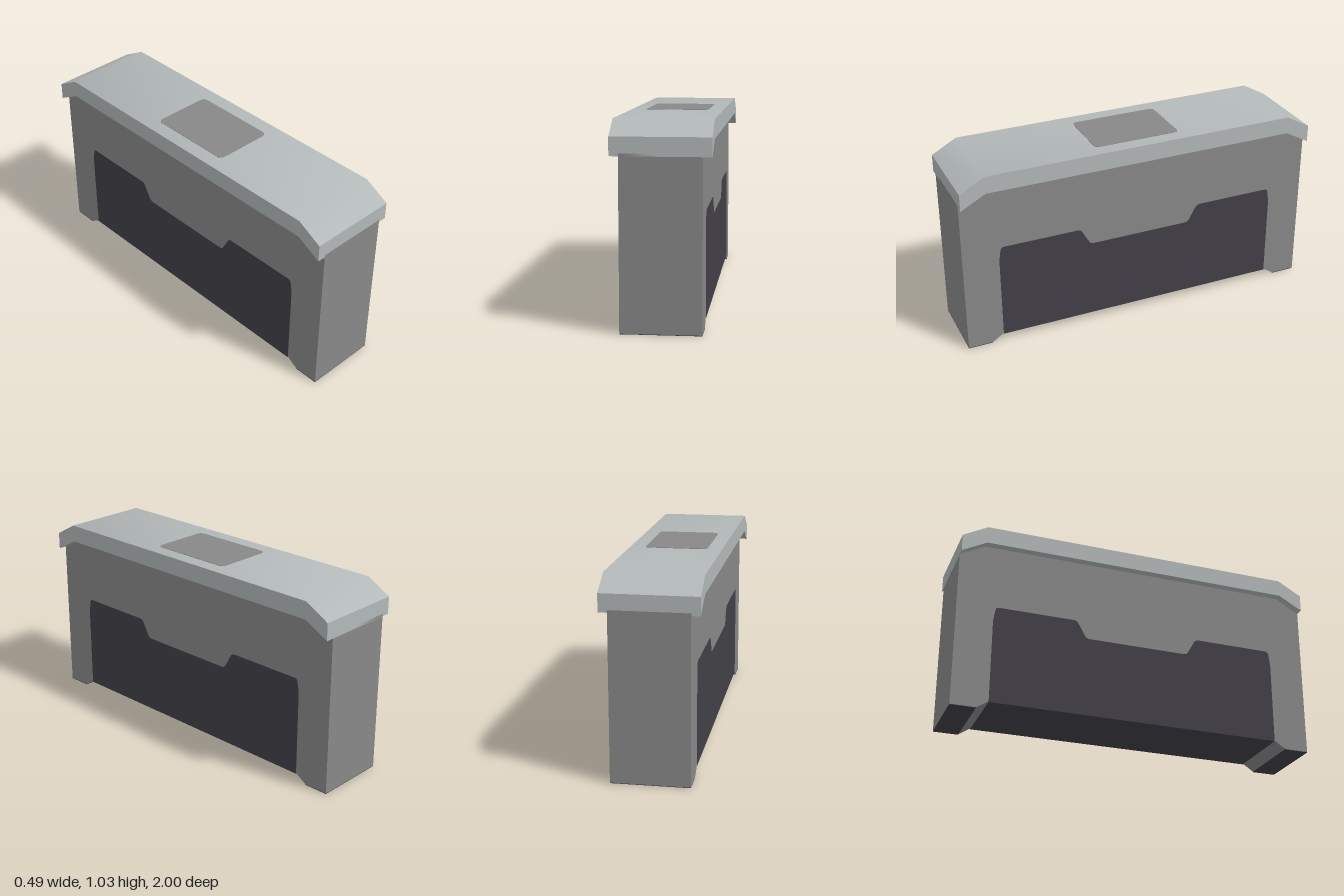
import * as THREE from 'three';
import { toCreasedNormals } from 'three/addons/utils/BufferGeometryUtils.js';

const mat = (name, color) => Object.assign(new THREE.MeshStandardMaterial({ color }), { name });

// Mirror half a profile of [z, y] points across z = 0 and close it
function symmetric(half) {
  return [...half, ...half.map(([z, y]) => [-z, y]).reverse()];
}

// Shape with each corner rounded by a quadratic curve of size r
function roundedShape(points, r) {
  const p = points.map(([a, b]) => new THREE.Vector2(a, b));
  const shape = new THREE.Shape();
  p.forEach((c, i) => {
    const prev = p[(i + p.length - 1) % p.length];
    const next = p[(i + 1) % p.length];
    const a = c.clone().add(prev.clone().sub(c).setLength(r));
    const b = c.clone().add(next.clone().sub(c).setLength(r));
    if (i === 0) shape.moveTo(a.x, a.y);
    else shape.lineTo(a.x, a.y);
    shape.quadraticCurveTo(c.x, c.y, b.x, b.y);
  });
  shape.closePath();
  return shape;
}

const sharpShape = (points) => new THREE.Shape(points.map(([a, b]) => new THREE.Vector2(a, b)));

// Extrude a side profile (z, y) across the full width in x
function acrossWidth(shape, width) {
  const g = new THREE.ExtrudeGeometry(shape, { depth: width, bevelEnabled: false, curveSegments: 5 });
  return g.translate(0, 0, -width / 2).rotateY(-Math.PI / 2);
}

export function createModel() {
  const model = new THREE.Group();
  model.name = 'block';
  const grey = mat('mid grey', 0x888888);
  const light = mat('light grey', 0xb3b8b8);
  const dark = mat('charcoal', 0x424047);

  const add = (name, geometry, material) => {
    const mesh = new THREE.Mesh(geometry, material);
    mesh.name = name;
    model.add(mesh);
    return mesh;
  };

  // Main body with two short chamfered feet
  const body = symmetric([[0.805, 0.042], [0.865, 0.003], [1, 0.003], [1, 0.87], [0.865, 0.94]]);
  add('body', acrossWidth(sharpShape(body), 0.4), grey);

  // Overhanging cap with sloped ends, softly shaded along its top
  const cap = symmetric([[0.865, 0.93], [1, 0.857], [1, 0.95], [0.865, 1.025]]);
  add('cap', toCreasedNormals(acrossWidth(sharpShape(cap), 0.49), 0.6), light);

  // Dark insert: notched panels on both sides and the underside
  const insert = symmetric([
    [0.29, 0.48], [0.345, 0.578], [0.79, 0.578], [0.802, 0.5], [0.802, 0.04],
  ]);
  add('insert', acrossWidth(roundedShape(insert, 0.018), 0.403), dark);
  add('insertBase', new THREE.BoxGeometry(0.403, 0.03, 1.604).translate(0, 0.055, 0), dark);

  // Dark soles under the feet
  for (const s of [1, -1]) {
    add('footSole', new THREE.BoxGeometry(0.4, 0.003, 0.135).translate(0, 0.0015, s * 0.9325), dark);
  }

  // Rounded plate on top of the cap
  const plate = roundedShape([[-0.165, -0.24], [0.165, -0.24], [0.165, 0.24], [-0.165, 0.24]], 0.03);
  const plateGeometry = new THREE.ExtrudeGeometry(plate, { depth: 0.003, bevelEnabled: false, curveSegments: 5 });
  add('topPlate', plateGeometry.rotateX(-Math.PI / 2).translate(0, 1.024, 0), grey);

  return model;
}
